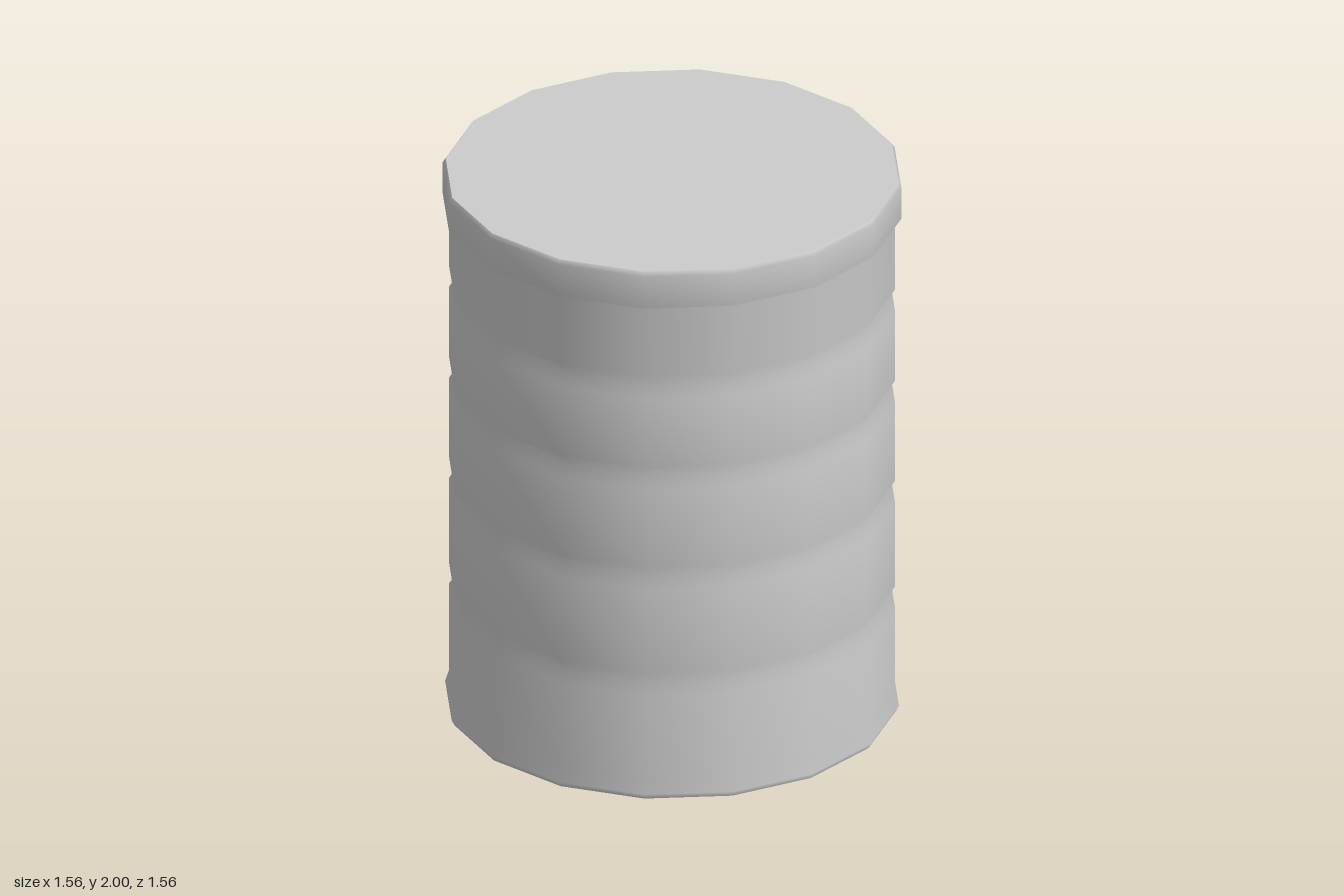
import * as THREE from 'three';

const SIDES = 16;
const TURN = 0.115; // slight twist of the 16-sided outline

export function createModel() {
  const group = new THREE.Group();
  group.name = 'ribbedCanister';
  const material = new THREE.MeshStandardMaterial({ color: 0xcccccc });

  // Revolve a profile (bottom to top) into a named part
  const turned = (name, profile) => {
    const points = profile.map(([r, y]) => new THREE.Vector2(r, y));
    const mesh = new THREE.Mesh(new THREE.LatheGeometry(points, SIDES, TURN), material);
    mesh.name = name;
    group.add(mesh);
  };

  const body = 0.762, groove = 0.737, lid = 0.783;

  // Wall: flared foot, four V grooves, then the overhanging lid rim
  const wall = [[0.765, 0], [0.775, 0.02], [body, 0.06]];
  for (const y of [0.43, 0.83, 1.21, 1.555]) {
    wall.push([body, y - 0.042], [groove, y], [body, y + 0.042]);
  }
  wall.push([body, 1.865], [lid, 1.865], [lid, 1.985], [0.773, 2]);
  turned('wallAndLidRim', wall);

  // Flat end faces
  turned('base', [[0, 0], [0.765, 0]]);
  turned('lidTop', [[0.773, 2], [0, 2]]);

  return group;
}
